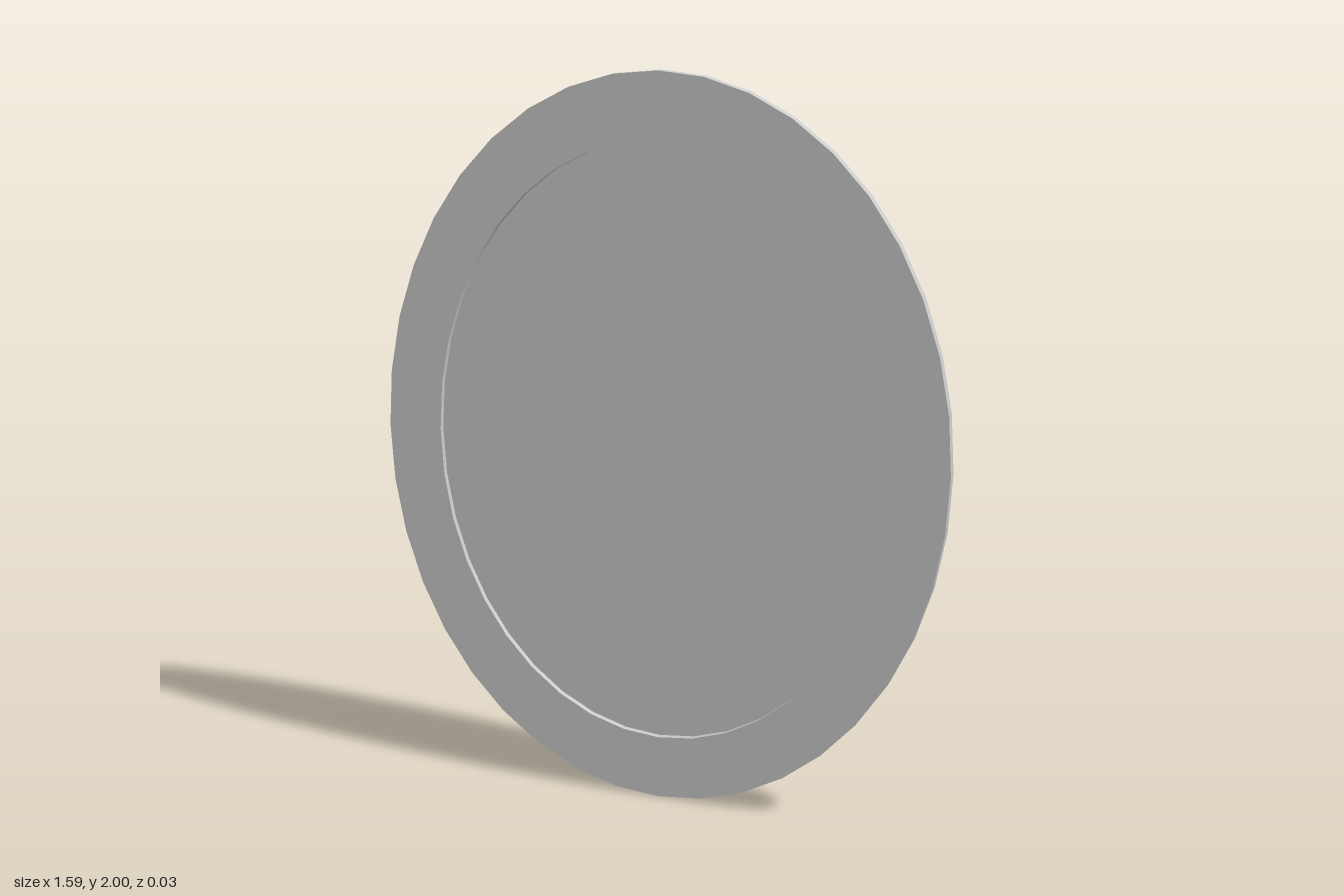
import * as THREE from 'three';
import { toCreasedNormals } from 'three/addons/utils/BufferGeometryUtils.js';

const SEGMENTS = 40;
const CENTER_Y = 1;
const BACK = -0.015, RECESS = -0.002, FRONT = 0.015;
const OUTER = [0.795, 1], INNER = [0.64, 0.823];

// Skins a list of elliptical sections [radiusX, radiusY, z], ordered from back to front
function loftEllipses(sections) {
  const positions = [], index = [];
  const row = SEGMENTS + 1;
  sections.forEach(([rx, ry, z], s) => {
    for (let i = 0; i <= SEGMENTS; i++) {
      const a = (i % SEGMENTS) / SEGMENTS * Math.PI * 2;
      positions.push(rx * Math.cos(a), CENTER_Y + ry * Math.sin(a), z);
      if (s === 0 || i === SEGMENTS) continue;
      const p = (s - 1) * row + i, q = s * row + i;
      // skip the collapsed triangle at a centre point
      if (sections[s - 1][0] > 0) index.push(p, p + 1, q);
      if (rx > 0) index.push(p + 1, q + 1, q);
    }
  });
  const geometry = new THREE.BufferGeometry();
  geometry.setAttribute('position', new THREE.Float32BufferAttribute(positions, 3));
  geometry.setIndex(index);
  return toCreasedNormals(geometry, 0.7);
}

export function createModel() {
  const group = new THREE.Group();
  group.name = 'ovalMirror';

  const addPart = (name, sections) => {
    const material = new THREE.MeshStandardMaterial({ color: 0xcccccc });
    const mesh = new THREE.Mesh(loftEllipses(sections), material);
    mesh.name = name;
    group.add(mesh);
  };

  // Frame: closed back, outer edge, flat front band and the step down to the glass
  addPart('frame', [
    [0, 0, BACK],
    [...OUTER, BACK],
    [...OUTER, FRONT],
    [...INNER, FRONT],
    [...INNER, RECESS],
  ]);

  // Recessed mirror glass
  addPart('mirrorGlass', [
    [...INNER, RECESS],
    [0, 0, RECESS],
  ]);

  return group;
}
